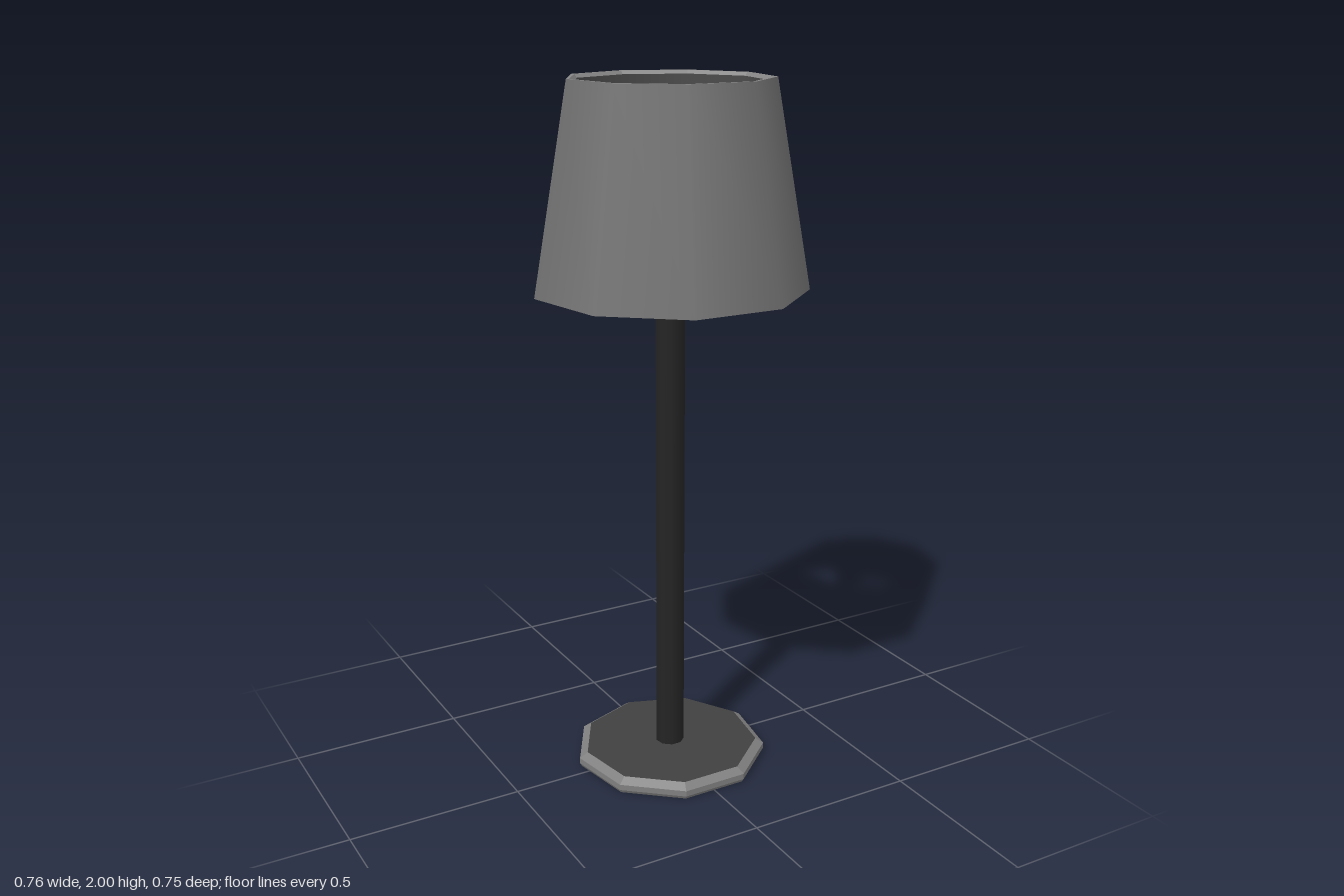
import * as THREE from 'three';

const SIDES = 9;

export function createModel() {
  const model = new THREE.Group();
  model.name = 'tableLamp';

  // The odd number of sides puts the axis slightly in front of the centre
  const lamp = new THREE.Group();
  lamp.name = 'lamp';
  lamp.position.z = 0.0115;
  model.add(lamp);

  const add = (name, geometry, color, flatShading) => {
    const mesh = new THREE.Mesh(geometry, new THREE.MeshStandardMaterial({ color, flatShading }));
    mesh.name = name;
    lamp.add(mesh);
    return mesh;
  };

  // Nine-sided turned part with one corner pointing to the back
  const turned = (name, color, flatShading, profile) => {
    const points = profile.map(([r, y]) => new THREE.Vector2(r, y));
    add(name, new THREE.LatheGeometry(points, SIDES, Math.PI), color, flatShading);
  };

  // Foot plate: dark underside, lighter bevelled edge, dark top
  turned('baseUnderside', 0x0d0d0d, true, [[0, 0], [0.278, 0]]);
  turned('baseEdge', 0x808080, true, [[0.278, 0], [0.284, 0.01], [0.284, 0.027], [0.26, 0.043]]);
  turned('baseTop', 0x404040, true, [[0.26, 0.043], [0, 0.043]]);

  // Pole and the rounded finial on top of it
  turned('pole', 0x242424, false, [[0.042, 0.04], [0.042, 1.8]]);
  turned('finial', 0xaaaaaa, true, [[0.042, 1.8], [0.044, 1.84], [0.037, 1.88], [0.025, 1.9], [0, 1.904]]);

  // Shade: outside, rims and darker lining
  turned('shade', 0x747474, false, [[0.385, 1.43], [0.285, 2]]);
  turned('shadeTopRim', 0x888888, true, [[0.285, 2], [0.276, 2], [0.268, 1.99]]);
  turned('shadeLining', 0x525252, false, [[0.268, 1.99], [0.37, 1.43]]);
  turned('shadeBottomRim', 0x303030, true, [[0.37, 1.43], [0.385, 1.43]]);

  // Three spokes carrying the shade, each meeting the middle of a facet
  const inner = 0.03, outer = 0.298;
  const spokeGeometry = new THREE.BoxGeometry(0.028, 0.027, outer - inner);
  spokeGeometry.translate(0, 0, -(inner + outer) / 2);
  for (let i = 0; i < 3; i++) {
    const spoke = add('spoke' + (i + 1), spokeGeometry, 0x222222, true);
    spoke.position.y = 1.75;
    spoke.rotation.y = -Math.PI / SIDES - (i * 2 * Math.PI) / 3;
  }

  // Small upright clip lying against the lining
  const clipGeometry = new THREE.BoxGeometry(0.028, 0.1, 0.008);
  clipGeometry.rotateX(0.18);
  clipGeometry.translate(0, 1.81, -0.28);
  add('clip', clipGeometry, 0x222222, true).rotation.y = (-11 * Math.PI) / SIDES;

  return model;
}
